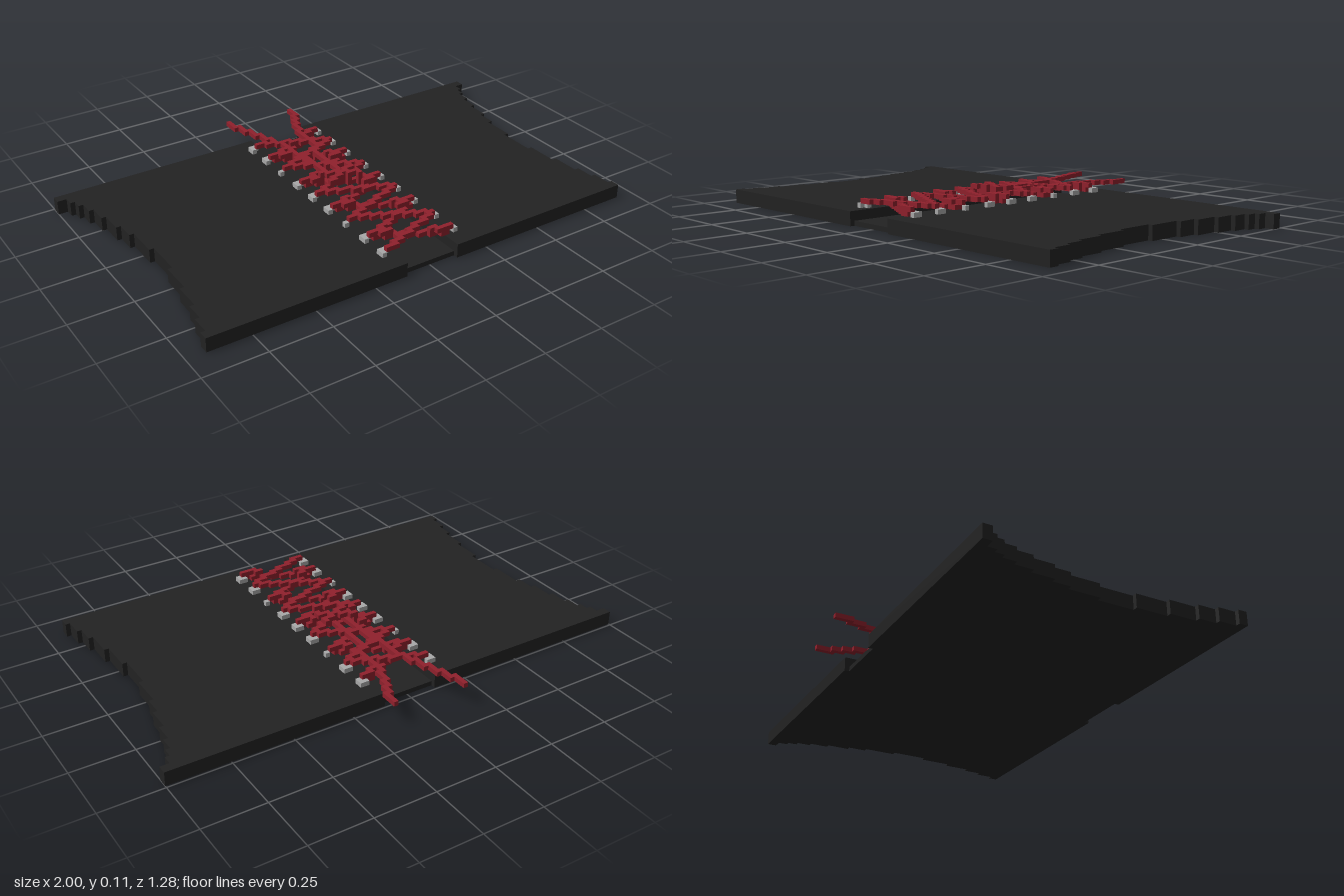
import * as THREE from 'three';
import { mergeGeometries } from 'three/addons/utils/BufferGeometryUtils.js';

const V = 2 / 106; // size of one cube

// Box between two corners given in cubes
function block(x0, x1, y0, y1, z0, z1) {
  const g = new THREE.BoxGeometry((x1 - x0) * V, (y1 - y0) * V, (z1 - z0) * V);
  return g.translate((x0 + x1) / 2 * V, (y0 + y1) / 2 * V, (z0 + z1) / 2 * V);
}

// Stepped run of cubes through a list of [x, z] cells on one level
function laceCells(cells, level, points) {
  const add = (x, z) => cells.set(`${x},${level},${z}`, [x, level, z]);
  for (let i = 0; i < points.length - 1; i++) {
    const [ax, az] = points[i], [bx, bz] = points[i + 1];
    const n = Math.max(Math.abs(bx - ax), Math.abs(bz - az));
    let px = ax, pz = az;
    for (let k = 0; k <= n; k++) {
      const x = Math.round(ax + (bx - ax) * k / n), z = Math.round(az + (bz - az) * k / n);
      if (x !== px && z !== pz) add(x, pz); // join diagonal steps
      add(x, z);
      px = x; pz = z;
    }
  }
}

export function createModel() {
  const model = new THREE.Group();
  const leather = new THREE.MeshStandardMaterial({ name: 'black leather', color: 0x222222 });
  const red = new THREE.MeshStandardMaterial({ name: 'red lace', color: 0x90202c });
  const metal = new THREE.MeshStandardMaterial({ name: 'grey metal', color: 0xa9a9a9 });
  const addMesh = (name, geometry, material) => {
    const mesh = new THREE.Mesh(geometry, material);
    mesh.name = name;
    model.add(mesh);
  };

  // Side panels with stepped, waisted outer edges
  const zs = [-26, -24, -22, -20, -17, -13, -8, -4, 3, 11, 18, 24, 28, 32, 34];
  const widths = [53, 51, 50, 49, 48, 47, 46, 45, 44, 45, 46, 47, 48, 49];
  for (const [name, side] of [['leftPanel', 1], ['rightPanel', -1]]) {
    const shape = new THREE.Shape();
    shape.moveTo(side * 6 * V, -zs[0] * V);
    widths.forEach((w, i) => {
      shape.lineTo(side * w * V, -zs[i] * V);
      shape.lineTo(side * w * V, -zs[i + 1] * V);
    });
    shape.lineTo(side * 6 * V, -zs[zs.length - 1] * V);
    const g = new THREE.ExtrudeGeometry(shape, { depth: 3 * V, bevelEnabled: false });
    addMesh(name, g.rotateX(-Math.PI / 2), leather);
  }

  // Thin strip under the lacing
  addMesh('backingStrip', block(-6, 6, 0, 1, -25, 33), leather);

  // Eyelets: [start, length] along z, mirrored on both sides
  const eyelets = [[28, 2], [22, 2], [16, 1], [9, 2], [3, 2], [-3, 2], [-9, 1], [-16, 2], [-22, 2]];
  const eyeletParts = [];
  for (const [z, n] of eyelets) {
    eyeletParts.push(block(8, 9, 3, 4, z, z + n), block(-9, -8, 3, 4, z, z + n));
    if (n > 1) eyeletParts.push(block(7, 8, 3, 4, z, z + 1), block(-8, -7, 3, 4, z, z + 1));
  }
  addMesh('eyelets', mergeGeometries(eyeletParts), metal);

  // Criss-cross laces, one strand over the other
  const cross = new Map();
  for (let i = 0; i < eyelets.length - 1; i++) {
    const a = eyelets[i][0] + eyelets[i][1] - 1, b = eyelets[i + 1][0] + eyelets[i + 1][1] - 1;
    const s = i % 2 ? [b, a] : [a, b];
    laceCells(cross, 4, [[-8, s[0]], [7, s[1]]]);
    laceCells(cross, 3, [[-7, s[1]], [6, s[0]]]);
    // Strand ends rise to meet the eyelets
    laceCells(cross, 4, [[-8, s[1]], [-4, s[1] + Math.sign(s[0] - s[1])]]);
    laceCells(cross, 4, [[7, s[0]], [3, s[0] - Math.sign(s[0] - s[1])]]);
  }

  // Loose ends running back from the knot
  const ends = new Map();
  laceCells(ends, 4, [[-8, -34], [-8, -32], [-6, -26], [-4, -20], [-3, -17], [-3, -9], [-2, -6], [-2, 2]]);
  laceCells(ends, 4, [[7, -32], [7, -30], [5, -26], [3, -20], [3, -13], [1, -11], [1, 2]]);
  laceCells(ends, 4, [[-2, -12], [1, -12]]);
  laceCells(ends, 4, [[-2, -12], [-2, -6]]);

  // Raised knot
  const knot = new Map();
  laceCells(knot, 5, [[-4, -1], [3, 3]]);
  laceCells(knot, 5, [[-4, 3], [3, -1]]);

  const cubes = (cells) => mergeGeometries([...cells.values()].map(
    ([x, y, z]) => block(x, x + 1, y, y + 1, z, z + 1)));
  addMesh('crossLacing', cubes(cross), red);
  addMesh('laceEnds', cubes(ends), red);
  addMesh('knot', cubes(knot), red);
  return model;
}
